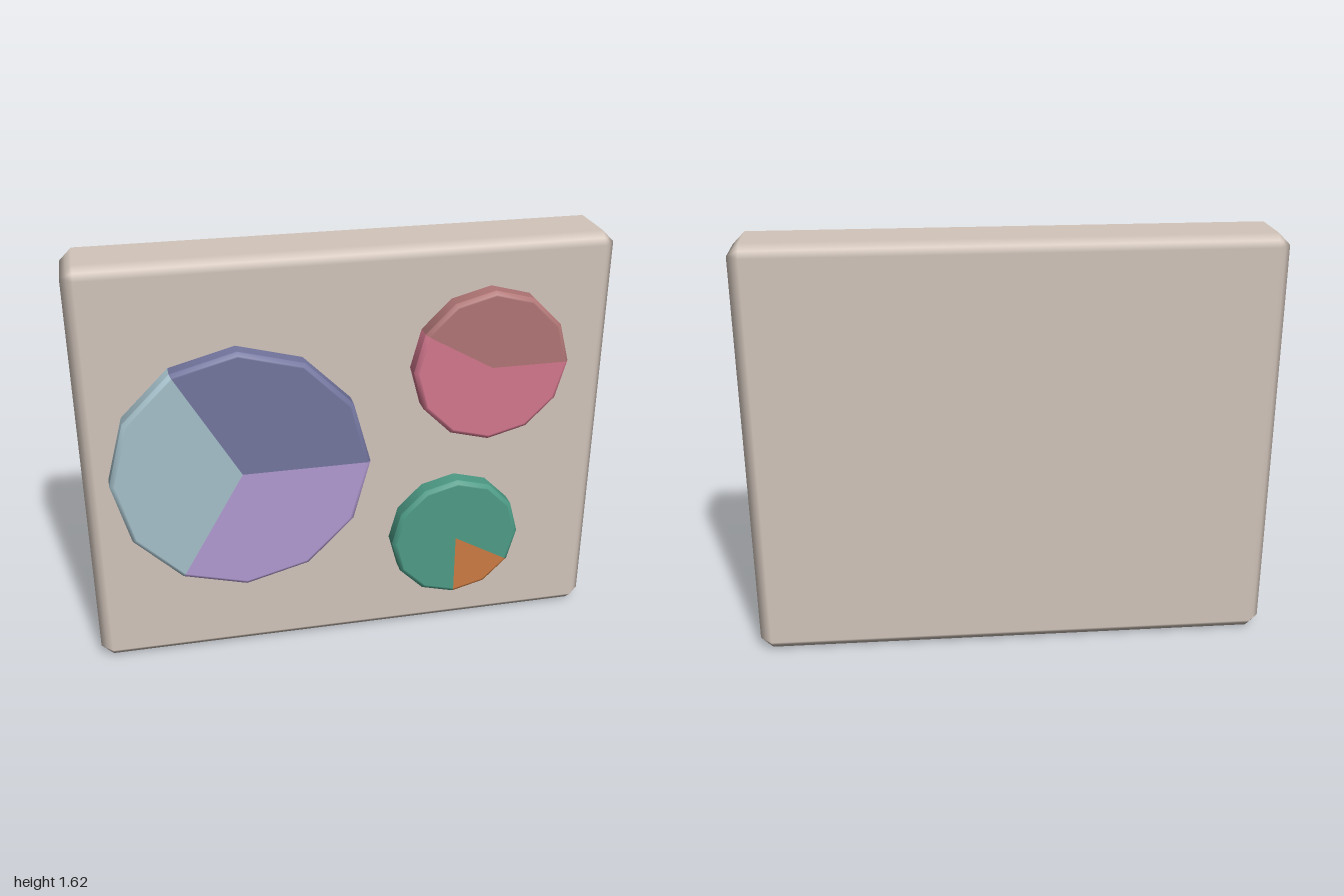
import * as THREE from 'three';

const mat = (name, color) => new THREE.MeshStandardMaterial({ name, color });

// Box whose edges are cut at 45 degrees, with soft normals across the cuts
function chamferedBox(w, h, d, c) {
  const geo = new THREE.BoxGeometry(1, 1, 1, 3, 3, 3);
  const pos = geo.attributes.position, nor = geo.attributes.normal;
  const half = new THREE.Vector3(w / 2 - c, h / 2 - c, d / 2 - c);
  const p = new THREE.Vector3(), n = new THREE.Vector3(), s = new THREE.Vector3();
  const outer = (v) => (Math.abs(v) > 0.4 ? Math.sign(v) : 0);
  for (let i = 0; i < pos.count; i++) {
    p.fromBufferAttribute(pos, i);
    s.set(Math.sign(p.x), Math.sign(p.y), Math.sign(p.z));
    n.set(outer(p.x), outer(p.y), outer(p.z));
    p.copy(s).multiply(half).addScaledVector(n, c / n.manhattanLength());
    n.normalize();
    pos.setXYZ(i, p.x, p.y, p.z);
    nor.setXYZ(i, n.x, n.y, n.z);
  }
  return geo;
}

// Wedge of a twelve-sided disc, facing +z, from one angle to another in degrees
function wedge(r, from, to) {
  const h = 0.08, c = 0.012;
  const profile = [
    [r, 0], [r, h - c - 0.004], [r, h - c], [r - c, h], [r - c - 0.006, h], [0, h],
  ].map(([x, y]) => new THREE.Vector2(x, y));
  const geo = new THREE.LatheGeometry(profile, (to - from) / 30,
    THREE.MathUtils.degToRad(from + 90), THREE.MathUtils.degToRad(to - from));
  return geo.rotateX(Math.PI / 2);
}

export function createModel() {
  const model = new THREE.Group();
  model.name = 'chartBoard';

  // Backing board
  const board = new THREE.Mesh(chamferedBox(2, 1.62, 0.286, 0.045), mat('stone', 0xd2c5bb));
  board.name = 'board';
  board.position.set(0, 0.81, -0.035);
  model.add(board);

  // Pie charts: wedges as [name, from, to, material]
  const charts = [
    { name: 'largeChart', x: -0.42, y: 0.815, r: 0.485, wedges: [
      ['slateWedge', 0, 120, mat('slate blue', 0x74769f)],
      ['paleBlueWedge', 120, 240, mat('pale blue', 0xa5c0ca)],
      ['lilacWedge', 240, 360, mat('lilac', 0xb19ad0)],
    ] },
    { name: 'upperChart', x: 0.522, y: 1.158, r: 0.297, wedges: [
      ['duskyRedWedge', 0, 150, mat('dusky red', 0xb07575)],
      ['pinkWedge', 150, 360, mat('pink', 0xd2778d)],
    ] },
    { name: 'lowerChart', x: 0.412, y: 0.433, r: 0.256, wedges: [
      ['orangeWedge', 270, 330, mat('orange', 0xcc7b42)],
      ['greenWedge', 330, 630, mat('green', 0x4d9b86)],
    ] },
  ];
  for (const { name, x, y, r, wedges } of charts) {
    const chart = new THREE.Group();
    chart.name = name;
    chart.position.set(x, y, 0.098);
    for (const [part, from, to, material] of wedges) {
      const mesh = new THREE.Mesh(wedge(r, from, to), material);
      mesh.name = part;
      chart.add(mesh);
    }
    model.add(chart);
  }
  return model;
}
